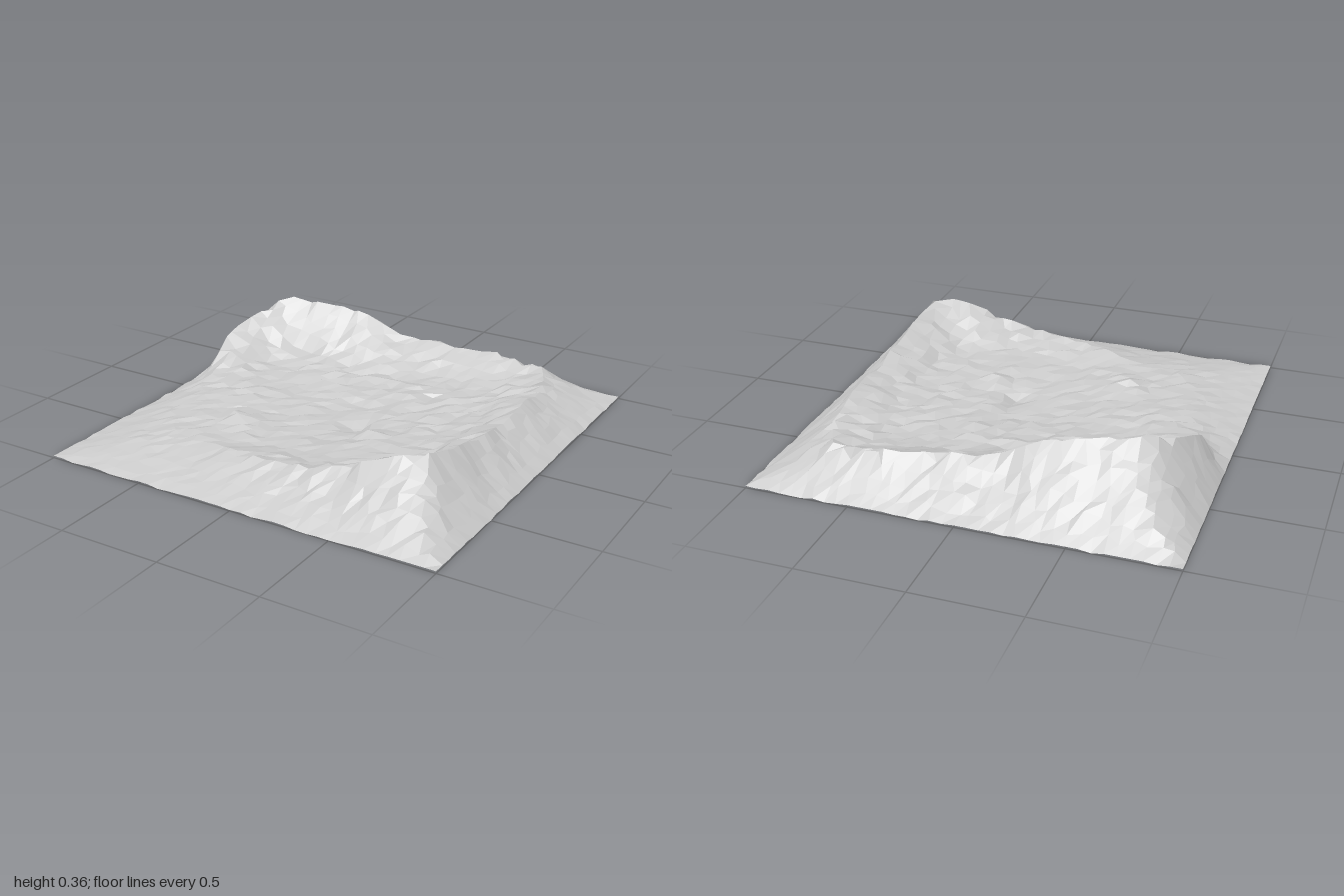
import * as THREE from 'three';

// Rim of the basin, going round from +x towards +z:
// crest x, crest z, crest height, inner foot as a share of the crest radius, foot height
const RIM = [
  [0.78, 0.0, 0.19, 0.74, 0.12], [0.78, 0.3, 0.23, 0.75, 0.12], [0.74, 0.64, 0.3, 0.75, 0.13],
  [0.6, 0.69, 0.28, 0.75, 0.13], [0.4, 0.72, 0.19, 0.78, 0.12], [0.15, 0.73, 0.145, 0.78, 0.1],
  [0.0, 0.72, 0.135, 0.8, 0.09], [-0.3, 0.65, 0.1, 0.8, 0.09], [-0.6, 0.6, 0.08, 0.7, 0.09],
  [-0.75, 0.35, 0.075, 0.7, 0.09], [-0.8, 0.1, 0.085, 0.7, 0.1], [-0.84, -0.05, 0.1, 0.74, 0.1],
  [-0.9, -0.22, 0.2, 0.78, 0.1], [-0.85, -0.4, 0.28, 0.8, 0.11], [-0.74, -0.59, 0.37, 0.77, 0.13],
  [-0.55, -0.63, 0.34, 0.73, 0.13], [-0.3, -0.68, 0.31, 0.69, 0.12], [-0.12, -0.7, 0.22, 0.7, 0.12],
  [0.2, -0.75, 0.205, 0.77, 0.12], [0.5, -0.8, 0.19, 0.77, 0.12], [0.65, -0.8, 0.17, 0.78, 0.12],
  [0.75, -0.6, 0.16, 0.76, 0.12], [0.78, -0.3, 0.2, 0.75, 0.12],
];

const TURN = Math.PI * 2;
const angleOf = (x, z) => (Math.atan2(z, x) + TURN) % TURN;
const knots = RIM.map(([x, z, h, share, foot]) => ({ a: angleOf(x, z), v: [Math.hypot(x, z), h, share, foot] }));
knots.push({ a: TURN, v: knots[0].v });

// Crest radius, crest height, foot share and foot height at an angle
function rimAt(angle) {
  const i = Math.max(1, knots.findIndex((k) => k.a >= angle));
  const p = knots[i - 1], q = knots[i];
  const t = (angle - p.a) / (q.a - p.a);
  return p.v.map((value, j) => THREE.MathUtils.lerp(value, q.v[j], t));
}

const bump = (x, z, cx, cz, size) => Math.exp(-((x - cx) ** 2 + (z - cz) ** 2) / (size * size));

// Ground height: outer slope, steep inner wall, then stepped benches on the floor
function heightAt(x, z) {
  const r = Math.hypot(x, z), a = angleOf(x, z);
  const [R, h, share, foot] = rimAt(a);
  if (r > R) {
    const edge = 1 / Math.max(Math.abs(Math.cos(a)), Math.abs(Math.sin(a)));
    return 0.01 + (h - 0.01) * Math.max(0, 1 - (r - R) / (edge - R)) ** 1.15;
  }
  const inner = R * share;
  if (r > inner) return THREE.MathUtils.lerp(foot, h, (r - inner) / (R - inner));
  const s = (r / inner) * 3;
  const step = (Math.floor(s) + THREE.MathUtils.smoothstep(s % 1, 0.55, 1)) / 3;
  return THREE.MathUtils.lerp(0.07, foot, step)
    - 0.045 * bump(x, z, 0.12, 0.12, 0.07)   // small pit
    + 0.035 * bump(x, z, 0.26, 0.22, 0.08)   // spoil heaps
    + 0.03 * bump(x, z, -0.38, 0.38, 0.09)
    + 0.02 * bump(x, z, 0.18, -0.28, 0.08);
}

function seeded(seed) {
  return () => {
    seed = (seed * 16807) % 2147483647;
    return seed / 2147483647 - 0.5;
  };
}

export function createModel() {
  const N = 36, cell = 2 / N, rand = seeded(71);
  const geometry = new THREE.PlaneGeometry(2, 2, N, N).rotateX(-Math.PI / 2);
  const pos = geometry.attributes.position;

  for (let i = 0; i < pos.count; i++) {
    let x = pos.getX(i), z = pos.getZ(i);
    const j1 = rand(), j2 = rand(), rough = rand();
    if (Math.max(Math.abs(x), Math.abs(z)) > 0.999) {
      pos.setY(i, 0.01 + 0.02 * Math.min(0, rough));
      continue;
    }
    // Irregular facets, with vertices near the crest pulled onto it
    x += j1 * cell * 0.6;
    z += j2 * cell * 0.6;
    const r = Math.hypot(x, z), R = rimAt(angleOf(x, z))[0];
    if (Math.abs(r - R) < cell * 0.45) {
      x *= R / r;
      z *= R / r;
    }
    const y = heightAt(x, z);
    pos.setXYZ(i, x, y + rough * Math.min(0.022, y * 0.18), z);
  }
  geometry.computeVertexNormals();

  const terrain = new THREE.Mesh(geometry, new THREE.MeshStandardMaterial({
    color: 0xcccccc, flatShading: true, side: THREE.DoubleSide,
  }));
  terrain.name = 'terrain';
  const group = new THREE.Group();
  group.name = 'craterLandscape';
  group.add(terrain);
  return group;
}
